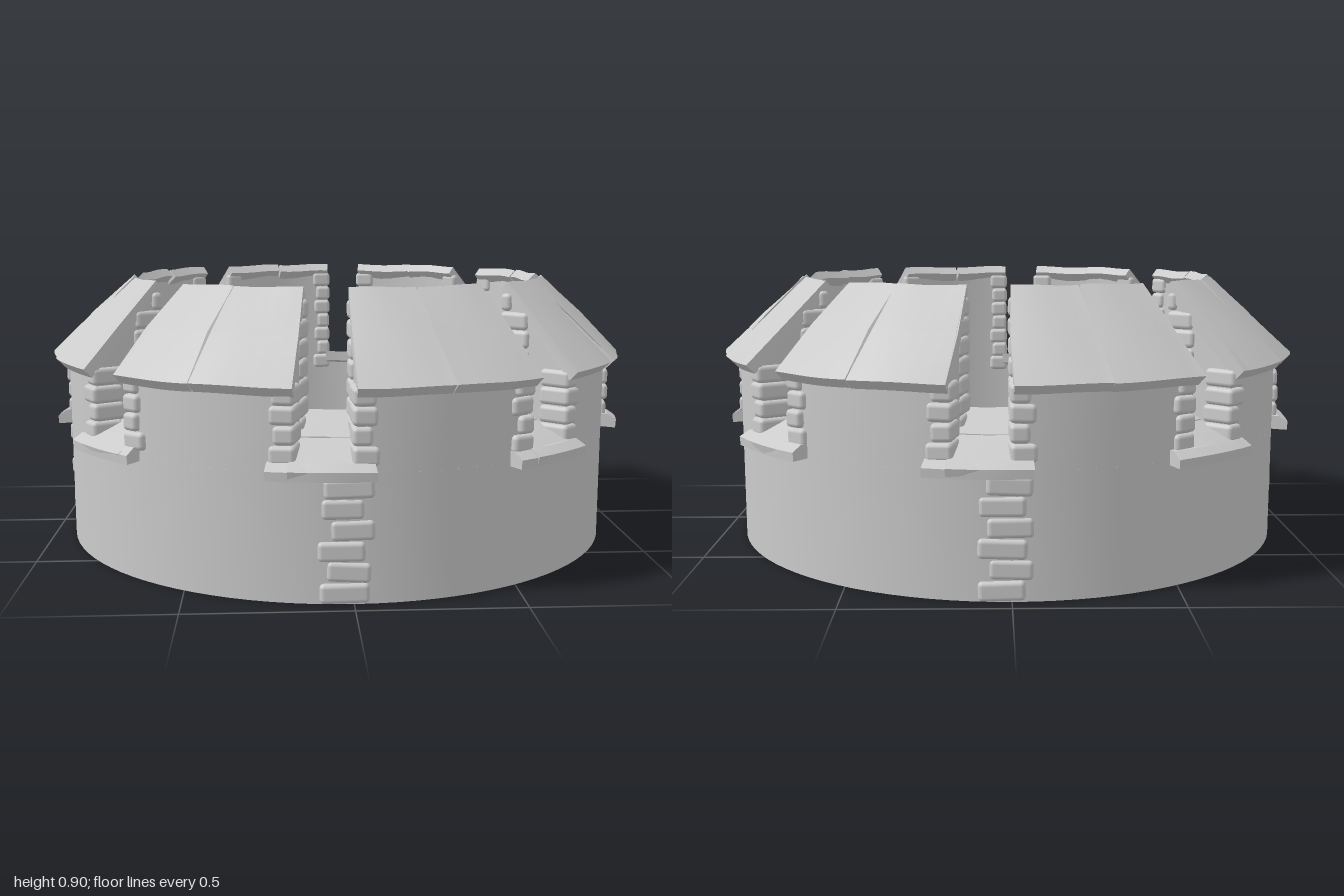
import * as THREE from 'three';
import { toCreasedNormals } from 'three/addons/utils/BufferGeometryUtils.js';
import { RoundedBoxGeometry } from 'three/addons/geometries/RoundedBoxGeometry.js';

const DEG = Math.PI / 180;
const BAYS = 8;
const STEP = 360 / BAYS;
const GAP_FROM = -10.5, GAP_TO = 0; // opening, in degrees from +z towards +x
const OUTER = 0.945, INNER = 0.725;

export function createModel() {
  const root = new THREE.Group();
  root.name = 'roundParapet';
  const material = new THREE.MeshStandardMaterial({ color: 0xcccccc });

  let seed = 7;
  const rand = (amount) => {
    seed = (seed * 16807) % 2147483647;
    return (seed / 2147483647 * 2 - 1) * amount;
  };

  const add = (parent, geometry, name) => {
    const mesh = new THREE.Mesh(geometry, material);
    mesh.name = name;
    parent.add(mesh);
    return mesh;
  };

  // Sweeps a profile of [radius, height] points between two angles, optionally a little uneven
  const sector = (profile, from, to, steps, rough = 0) => {
    const shape = new THREE.Shape(profile.map(([r, y]) => new THREE.Vector2(r, y)));
    const geo = new THREE.ExtrudeGeometry(shape, { depth: 1, steps, bevelEnabled: false });
    const pos = geo.attributes.position;
    const phase = rand(3);
    for (let i = 0; i < pos.count; i++) {
      const t = pos.getZ(i);
      const wave = rough * Math.sin(phase + t * 5 + pos.getX(i) * 11);
      const r = pos.getX(i) + wave;
      const skew = rough * 70 * Math.sin(phase * 2 + r * 16);
      const a = (to + (from - to) * t + skew) * DEG;
      pos.setXYZ(i, r * Math.sin(a), pos.getY(i) + wave * 0.5, r * Math.cos(a));
    }
    return toCreasedNormals(geo, 0.5);
  };

  // One worn stone facing outwards at an angle, radius and height
  const stone = (parent, name, angle, radius, y, w, h, d) => {
    const geo = new RoundedBoxGeometry(w, h, d, 2, Math.min(0.014, d * 0.4));
    const mesh = add(parent, geo, name);
    const a = angle * DEG;
    mesh.position.set(radius * Math.sin(a), y, radius * Math.cos(a));
    mesh.rotation.set(0, a + rand(0.04), rand(0.04));
  };

  // Solid ring wall, its top rising inwards
  const ring = [[INNER, 0], [OUTER, 0], [OUTER, 0.385], [INNER, 0.485], [INNER, 0]]
    .map(([r, y]) => new THREE.Vector2(r, y));
  add(root, toCreasedNormals(new THREE.LatheGeometry(ring, 96), 0.5), 'ringWall');

  const merlonProfile = [[INNER, 0.48], [OUTER, 0.38], [OUTER, 0.645], [INNER, 0.853]];
  const roofProfile = [[0.968, 0.61], [0.995, 0.638], [0.86, 0.77], [0.722, 0.898],
    [0.697, 0.872], [0.832, 0.742]];
  const sillProfile = [[0.845, 0.43], [0.99, 0.372], [0.997, 0.4], [0.965, 0.42], [0.845, 0.47]];
  const innerSillProfile = [[0.7, 0.49], [0.842, 0.43], [0.842, 0.472], [0.7, 0.528]];
  const lipProfile = [[0.93, 0.375], [0.995, 0.372], [0.997, 0.4], [0.965, 0.42], [0.93, 0.42]];

  for (let b = 0; b < BAYS; b++) {
    const base = b * STEP;
    const bay = new THREE.Group();
    bay.name = 'bay' + (b + 1);
    root.add(bay);

    // Raised wall block with two roof slabs
    const start = base + GAP_TO, end = base + STEP + GAP_FROM, mid = start + 16.5;
    add(bay, sector(merlonProfile, start + 0.4, end - 0.4, 10), 'merlon');
    add(bay, sector(roofProfile, start, mid - 0.12, 6, 0.005), 'roofSlab');
    add(bay, sector(roofProfile, mid + 0.12, end, 6, 0.005), 'roofSlab');

    // Sloping sill: two paving slabs and a projecting lip
    add(bay, sector(sillProfile, base + GAP_FROM - 0.6, base + GAP_TO + 0.6, 4, 0.002), 'outerSill');
    add(bay, sector(innerSillProfile, base + GAP_FROM - 0.6, base + GAP_TO + 0.6, 4, 0.002), 'innerSill');
    add(bay, sector(lipProfile, base - 15 + rand(0.6), base + 3.8 + rand(0.8), 5, 0.003), 'sillLip');

    // Corner stones on both sides of the opening
    for (const side of [-1, 1]) {
      const edge = side < 0 ? GAP_FROM : GAP_TO;
      const outerCount = 4, outerH = 0.057;
      for (let i = 0; i < outerCount; i++) {
        const w = (i % 2 ? 0.062 : 0.076) + rand(0.008);
        const angle = base + edge + side * ((w / 2 - 0.008) / 0.92) / DEG;
        stone(bay, 'outerCornerStone', angle, 0.91 + rand(0.004), 0.437 + i * outerH, w, outerH - 0.002, 0.105);
      }
      const innerCount = 7, innerH = 0.058;
      for (let i = 0; i < innerCount; i++) {
        const y = 0.487 + i * innerH;
        const w = (i % 2 ? 0.056 : 0.07) + rand(0.007);
        const near = 0.708 + rand(0.003);
        // keep the stone below the slope of the roof
        const far = Math.min(0.81, 0.705 + (0.9 - y - innerH / 2) / 0.945);
        const angle = base + edge + side * ((w / 2 - 0.008) / 0.76) / DEG;
        stone(bay, 'innerCornerStone', angle, (near + far) / 2, y, w, innerH - 0.002, far - near);
      }
    }

    // Stone pier below every second opening
    if (b % 2 === 0) {
      for (let i = 0; i < 6; i++) {
        const w = 0.135 + rand(0.014);
        const shift = (i % 2 ? 0.8 : -0.7) + rand(0.4);
        stone(bay, 'pierStone', base - 1.3 + shift, 0.93 + rand(0.003), 0.033 + i * 0.062, w, 0.06, 0.05);
      }
    }
  }
  return root;
}
